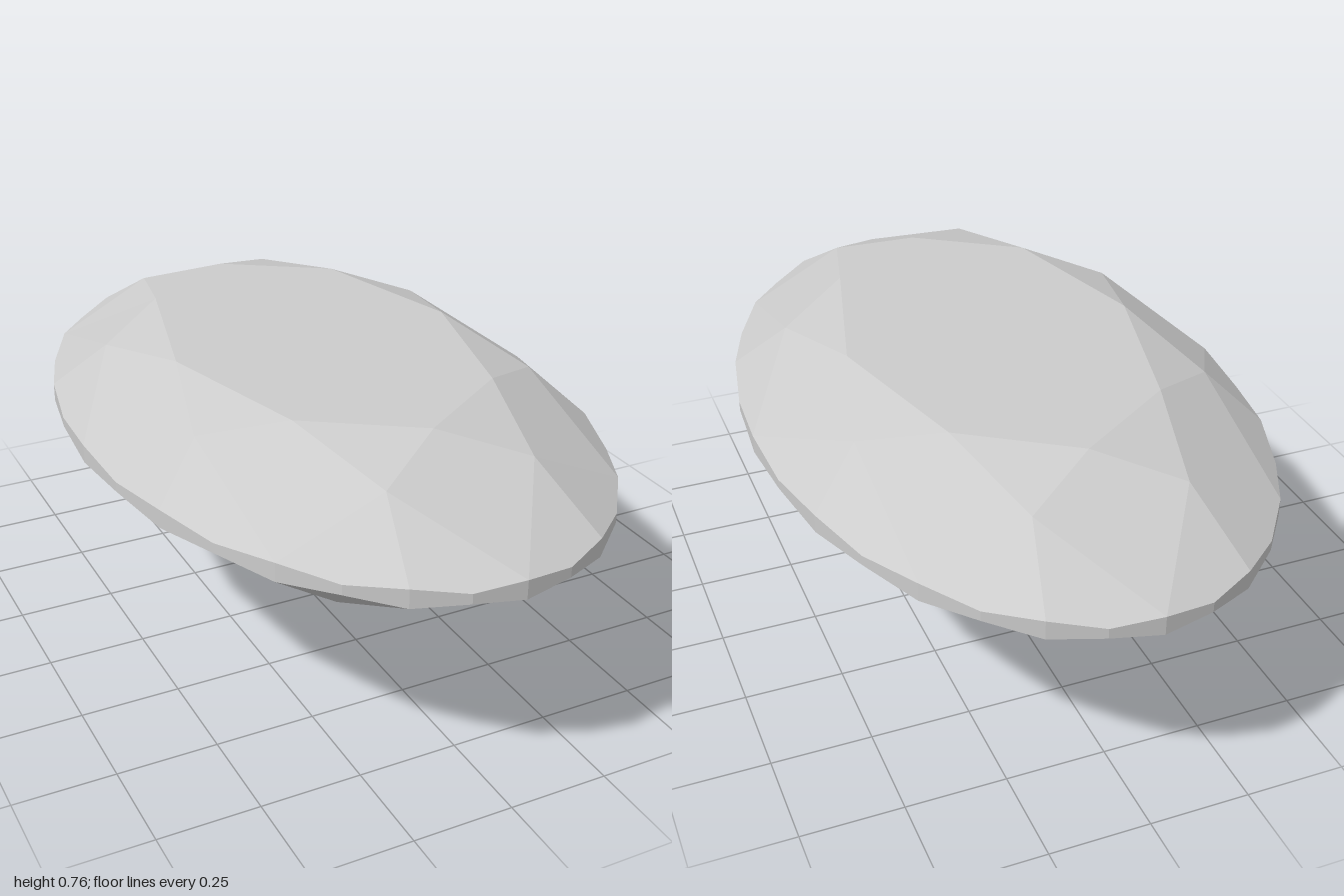
import * as THREE from 'three';

const STEPS = 32;     // girdle corners; every 4th one lies on a main facet
const WIDTH = 0.62;   // oval width relative to its length
const TABLE_Y = 0.765, STAR_Y = 0.711, BREAK_Y = 0.151;

// Point on the oval: radius, step around (0 = front, towards +x), height
function point(r, step, y) {
  const a = (step / STEPS) * Math.PI * 2;
  return [WIDTH * r * Math.sin(a), y, r * Math.cos(a)];
}

// Scalloped girdle edges
const girdleTop = (i) => point(1, i, i % 2 ? 0.581 : 0.592);
const girdleBottom = (i) => point(1, i, i % 2 ? 0.556 : 0.545);

// Corner rings of the crown and pavilion
const table = (i) => point(0.6, i, TABLE_Y);
const star = (i) => point(0.785, i, STAR_Y);
const pavilionBreak = (i) => point(0.3, i, BREAK_Y);

// Flat faceted mesh from convex polygons with counter-clockwise corners
function facets(name, polygons) {
  const positions = [];
  for (const p of polygons) {
    for (let i = 1; i < p.length - 1; i++) positions.push(...p[0], ...p[i], ...p[i + 1]);
  }
  const geometry = new THREE.BufferGeometry();
  geometry.setAttribute('position', new THREE.Float32BufferAttribute(positions, 3));
  geometry.computeVertexNormals();
  const material = new THREE.MeshStandardMaterial({ color: 0xcccccc, flatShading: true });
  const mesh = new THREE.Mesh(geometry, material);
  mesh.name = name;
  return mesh;
}

export function createModel() {
  const top = [], stars = [], bezels = [], upperHalves = [];
  const girdle = [], lowerHalves = [], mains = [];
  const culet = [0, 0, 0];

  for (let k = 0; k < STEPS; k += 4) {
    top.push(table(k));

    // Crown: star triangle, bezel kite and a pair of upper half facets
    stars.push([table(k), star(k + 2), table(k + 4)]);
    bezels.push([table(k), star(k - 2), girdleTop(k), star(k + 2)]);
    for (const s of [k, k + 2]) {
      upperHalves.push([star(k + 2), girdleTop(s), girdleTop(s + 1), girdleTop(s + 2)]);
    }

    // Pavilion: main kite and a pair of lower half facets
    mains.push([culet, pavilionBreak(k + 2), girdleBottom(k), pavilionBreak(k - 2)]);
    for (const s of [k, k + 2]) {
      lowerHalves.push([pavilionBreak(k + 2), girdleBottom(s + 2), girdleBottom(s + 1), girdleBottom(s)]);
    }
  }

  // Girdle band
  for (let i = 0; i < STEPS; i++) {
    girdle.push([girdleBottom(i), girdleBottom(i + 1), girdleTop(i + 1), girdleTop(i)]);
  }

  const crown = new THREE.Group();
  crown.name = 'crown';
  crown.add(
    facets('table', [top]),
    facets('starFacets', stars),
    facets('bezelFacets', bezels),
    facets('upperHalfFacets', upperHalves)
  );

  const pavilion = new THREE.Group();
  pavilion.name = 'pavilion';
  pavilion.add(facets('lowerHalfFacets', lowerHalves), facets('mainFacets', mains));

  const gem = new THREE.Group();
  gem.name = 'ovalGem';
  gem.add(crown, facets('girdle', girdle), pavilion);
  return gem;
}
